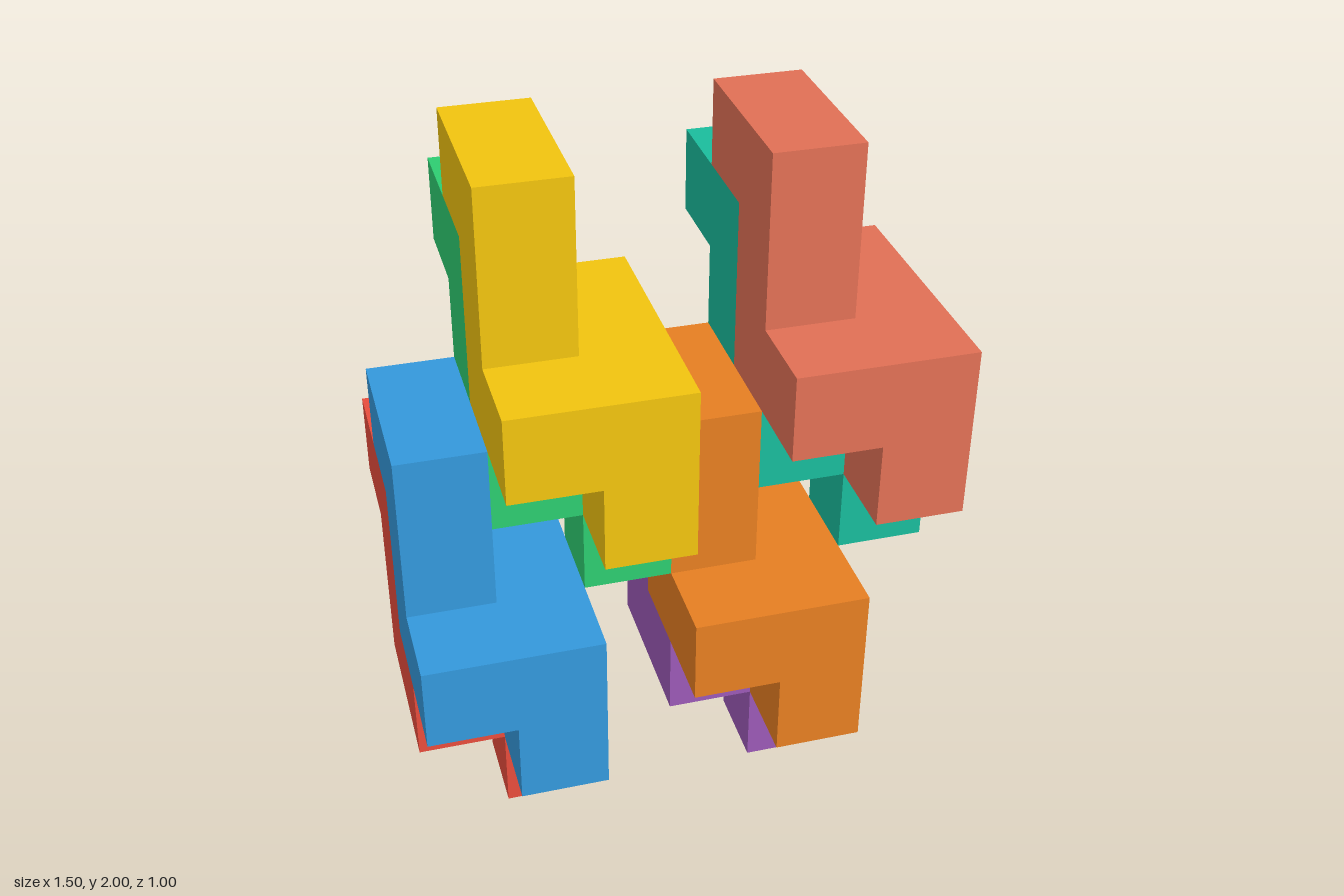
import * as THREE from 'three';
import { mergeGeometries } from 'three/addons/utils/BufferGeometryUtils.js';

const CELL = 0.25;

// Unit cubes [x, y, z] of the one puzzle piece that every block repeats
const CELLS = [
  // zigzag layer
  [0, 4, 1], [0, 4, 2], [0, 3, 2], [0, 2, 2], [0, 2, 3],
  // hooked layer
  [1, 2, 1], [1, 2, 2], [1, 2, 3], [1, 1, 3],
];

const DIRECTIONS = [
  [1, 0, 0], [-1, 0, 0], [0, 1, 0], [0, -1, 0], [0, 0, 1], [0, 0, -1],
];

// Outer shell of the piece: one square per cube side that has no neighbour
function pieceGeometry() {
  const filled = new Set(CELLS.map(c => c.join()));
  const zAxis = new THREE.Vector3(0, 0, 1);
  const sides = [];
  for (const cell of CELLS) {
    for (const dir of DIRECTIONS) {
      if (filled.has(cell.map((v, i) => v + dir[i]).join())) continue;
      const normal = new THREE.Vector3(...dir);
      const side = new THREE.PlaneGeometry(CELL, CELL);
      side.applyQuaternion(new THREE.Quaternion().setFromUnitVectors(zAxis, normal));
      const [x, y, z] = cell.map((v, i) => (v + 0.5 + dir[i] / 2) * CELL);
      sides.push(side.translate(x, y, z));
    }
  }
  return mergeGeometries(sides);
}

// Interlocking pairs: grid position, then colours of the front and back piece
const PAIRS = [
  { name: 'upperLeft', at: [1, 3, -2], front: 0xe17055, back: 0x1abc9c },
  { name: 'upperRight', at: [-2, 3, -2], front: 0xf1c40f, back: 0x2ecc71 },
  { name: 'lowerLeft', at: [0, 0, -2], front: 0xe67e22, back: 0x9b59b6 },
  { name: 'lowerRight', at: [-3, 0, -2], front: 0x3498db, back: 0xe74c3c },
];

export function createModel() {
  const model = new THREE.Group();
  model.name = 'interlockingBlocks';
  const geometry = pieceGeometry();

  const addPiece = (name, color, x, y, z) => {
    const piece = new THREE.Mesh(geometry, new THREE.MeshStandardMaterial({ color }));
    piece.name = name;
    piece.position.set(x, y, z).multiplyScalar(CELL);
    model.add(piece);
  };

  // The back piece nests one cell below and behind the front one
  for (const { name, at: [x, y, z], front, back } of PAIRS) {
    addPiece(name + 'FrontPiece', front, x, y, z);
    addPiece(name + 'BackPiece', back, x, y - 1, z - 1);
  }
  return model;
}
